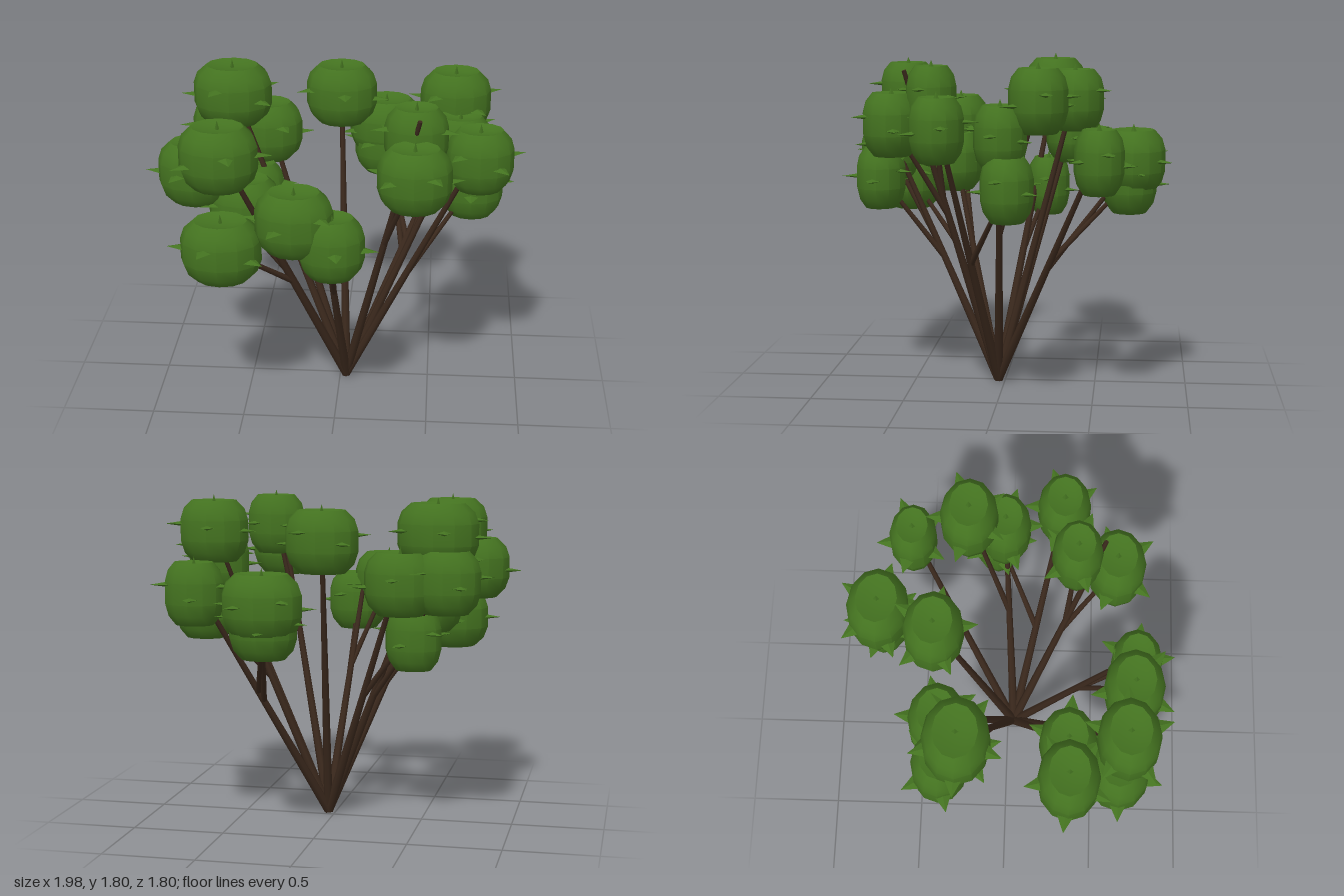
import * as THREE from 'three';
import { toCreasedNormals } from 'three/addons/utils/BufferGeometryUtils.js';

const BASE = new THREE.Vector3(0.035, 0, 0.035);
const CLUMP_HEIGHT = 0.33;
const DEPTH_RATIO = 0.8;

// Main stems fan out from the base. Each has a tip and leaf clumps: [x, mid height, z, half width],
// plus, for clumps on a side branch, the fraction of the stem where it forks
const STEMS = [
  { tip: [-0.57, 1.60, 0.62], clumps: [[-0.57, 1.565, 0.62, 0.2], [-0.575, 1.045, 0.6, 0.21, 0.45]] },
  { tip: [-0.61, 1.62, -0.24], clumps: [[-0.61, 1.59, -0.24, 0.215], [-0.48, 1.03, -0.21, 0.15, 0.42]] },
  { tip: [-0.46, 1.20, 0.33], clumps: [[-0.48, 1.165, 0.33, 0.19], [-0.73, 1.365, 0.33, 0.2, 0.6]] },
  { tip: [-0.06, 1.30, 0.62], clumps: [[-0.19, 1.245, 0.67, 0.2, 0.6], [0, 1.12, 0.69, 0.17, 0.52]] },
  { tip: [-0.02, 1.60, -0.38], clumps: [[-0.02, 1.555, -0.38, 0.195]] },
  { tip: [0.63, 1.34, -0.53], clumps: [[0.63, 1.285, -0.53, 0.16], [0.22, 1.25, -0.7, 0.21, 0.5], [0.22, 1.14, -0.68, 0.18, 0.54]] },
  { tip: [0.64, 1.45, -0.03], clumps: [[0.64, 1.405, -0.03, 0.17], [0.61, 1.59, -0.22, 0.19, 0.6]] },
  { tip: [0.74, 1.50, 0.28], clumps: [[0.74, 1.45, 0.28, 0.175], [0.71, 1.15, -0.07, 0.17, 0.47]] },
  { tip: [0.43, 1.73, 0.49], clumps: [[0.41, 1.59, 0.35, 0.165, 0.6], [0.41, 1.45, 0.56, 0.19, 0.55]] },
  { tip: [-0.43, 1.40, -0.35], clumps: [[-0.43, 1.34, -0.35, 0.19], [-0.67, 1.35, -0.33, 0.18, 0.5]] },
];

// Tapered stem between two points
function makeStem(name, from, to, r0, r1, material) {
  const dir = to.clone().sub(from);
  const geometry = new THREE.CylinderGeometry(r1, r0, dir.length(), 7);
  const mesh = new THREE.Mesh(geometry, material);
  mesh.name = name;
  mesh.position.copy(from).add(to).multiplyScalar(0.5);
  mesh.quaternion.setFromUnitVectors(new THREE.Vector3(0, 1, 0), dir.normalize());
  return mesh;
}

// Barrel-shaped clump of unit radius and height, with a shallow dished top
function makeBodyGeometry() {
  const profile = [[0, 0.03], [0.64, 0], [0.89, 0.15], [1, 0.34], [1, 0.68], [0.9, 0.86], [0.66, 1], [0.4, 0.96], [0, 0.95]];
  const points = profile.map(([r, y]) => new THREE.Vector2(r, y - 0.5));
  return toCreasedNormals(new THREE.LatheGeometry(points, 12), 0.65);
}

// Four-sided leaf tip pointing along +x
function makeTipGeometry() {
  const geometry = new THREE.ConeGeometry(1, 1, 4).toNonIndexed();
  geometry.rotateZ(-Math.PI / 2);
  geometry.computeVertexNormals();
  return geometry;
}

// Leaf clump with pointed tips around the side and one on top
function makeClump(rx, seed, bodyGeo, tipGeo, material) {
  const clump = new THREE.Group();
  clump.name = 'leafClump';
  const rz = rx * DEPTH_RATIO;
  const body = new THREE.Mesh(bodyGeo, material);
  body.name = 'clumpBody';
  body.scale.set(rx, CLUMP_HEIGHT, rz);
  clump.add(body);

  for (let k = 0; k < 5; k++) {
    const a = (k / 5) * Math.PI * 2 + seed * 1.9;
    const tip = new THREE.Mesh(tipGeo, material);
    tip.name = 'leafTip';
    tip.scale.set(0.13, 0.02, 0.06);
    const y = CLUMP_HEIGHT * (0.05 + 0.12 * Math.sin(k * 2.4 + seed));
    tip.position.set(Math.cos(a) * (rx + 0.01), y, Math.sin(a) * (rz + 0.01));
    tip.rotation.y = -a;
    clump.add(tip);
  }

  const crown = new THREE.Mesh(tipGeo, material);
  crown.name = 'crownTip';
  crown.scale.set(0.08, 0.02, 0.03);
  crown.position.y = CLUMP_HEIGHT / 2 - 0.01;
  crown.rotation.z = Math.PI / 2;
  clump.add(crown);
  return clump;
}

export function createModel() {
  const model = new THREE.Group();
  model.name = 'bush';
  const leaf = new THREE.MeshStandardMaterial({ color: 0x447320 });
  leaf.name = 'leafGreen';
  const bark = new THREE.MeshStandardMaterial({ color: 0x3a281c });
  bark.name = 'barkBrown';
  const bodyGeo = makeBodyGeometry();
  const tipGeo = makeTipGeometry();

  STEMS.forEach(({ tip, clumps }, i) => {
    const end = new THREE.Vector3(...tip);
    model.add(makeStem('stem', BASE, end, 0.026, 0.012, bark));

    clumps.forEach(([x, y, z, rx, fork], j) => {
      const clump = makeClump(rx, i * 3 + j, bodyGeo, tipGeo, leaf);
      clump.position.set(x, y, z);
      model.add(clump);
      // Thin branch forking from the main stem
      if (fork) {
        const start = BASE.clone().lerp(end, fork);
        model.add(makeStem('branch', start, clump.position, 0.017, 0.01, bark));
      }
    });
  });
  return model;
}
